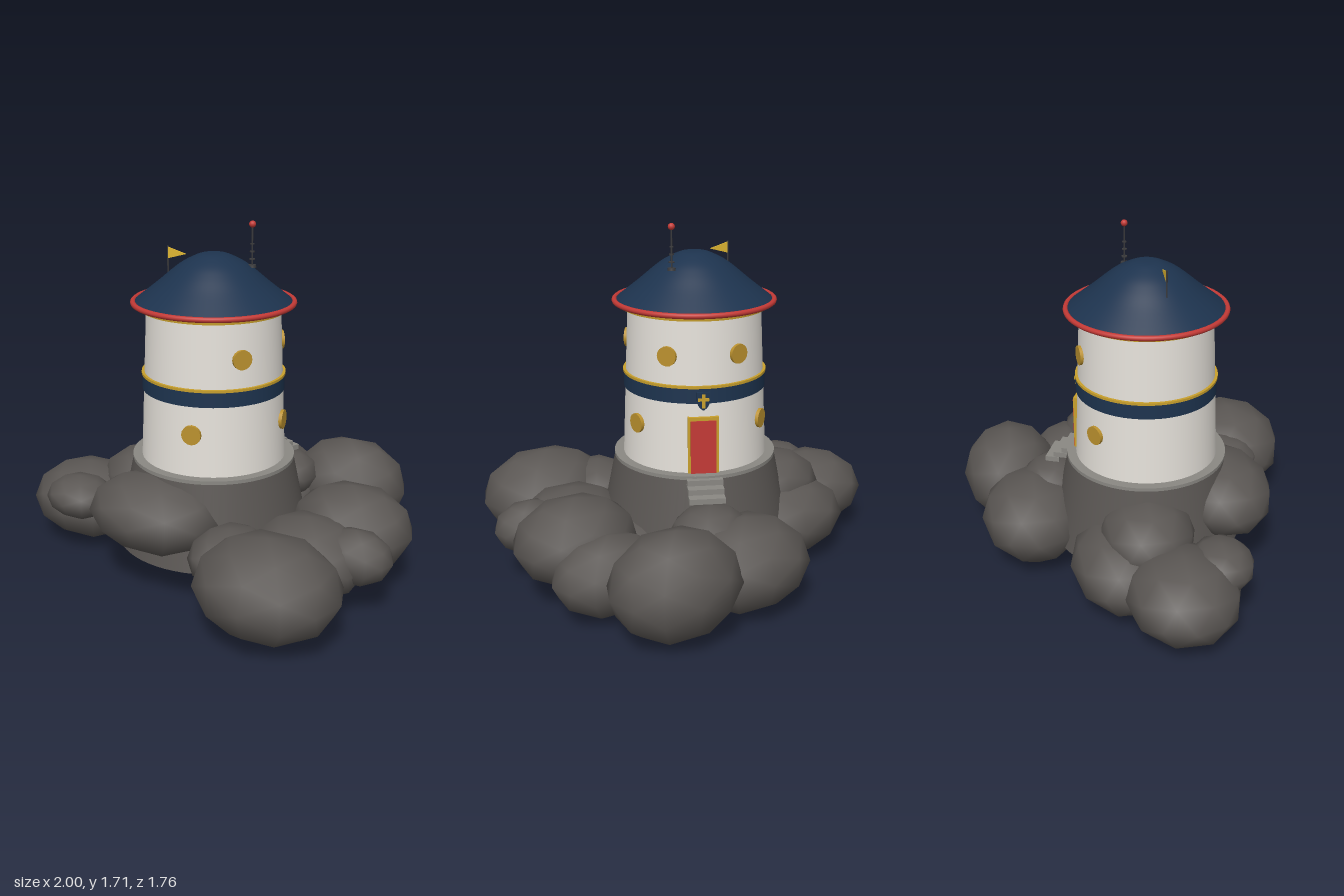
import * as THREE from 'three';

const mat = (name, color) => {
  const m = new THREE.MeshStandardMaterial({ color });
  m.name = name;
  return m;
};

export function createModel() {
  const rock = mat('rock grey', 0x5a5653);
  const stone = mat('stone grey', 0x8a8883);
  const wall = mat('plaster white', 0xe5e1da);
  const navy = mat('navy', 0x1d334e);
  const gold = mat('gold', 0xc9a02c);
  const amber = mat('window amber', 0xbc922f);
  const yellow = mat('flag yellow', 0xe2b833);
  const red = mat('red', 0xc43a36);
  const metal = mat('dark metal', 0x3a3a3c);

  const model = new THREE.Group();
  model.name = 'rockTower';
  const tower = new THREE.Group();
  tower.name = 'tower';
  tower.position.set(0.013, 0, 0.03);
  model.add(tower);

  const add = (parent, name, geometry, material, x = 0, y = 0, z = 0) => {
    const mesh = new THREE.Mesh(geometry, material);
    mesh.name = name;
    mesh.position.set(x, y, z);
    parent.add(mesh);
    return mesh;
  };
  // Upright round part between two heights
  const drum = (name, y0, y1, r0, r1, material) =>
    add(tower, name, new THREE.CylinderGeometry(r1, r0, y1 - y0, 64), material, 0, (y0 + y1) / 2, 0);
  // Group on the tower wall whose local +z points outwards
  const facing = (name, degrees) => {
    const g = new THREE.Group();
    g.name = name;
    g.rotation.y = THREE.MathUtils.degToRad(degrees);
    tower.add(g);
    return g;
  };

  // Boulders: centre x, y, z, then radii x, y, z
  const boulders = [
    [0.47, 0.27, -0.63, 0.31, 0.25, 0.25],
    [0.07, 0.235, -0.535, 0.32, 0.22, 0.265],
    [0.18, 0.36, -0.42, 0.19, 0.13, 0.17],
    [0.58, 0.27, 0.59, 0.34, 0.23, 0.29],
    [0.34, 0.31, 0.48, 0.18, 0.13, 0.22],
    [0.70, 0.30, -0.08, 0.3, 0.21, 0.25],
    [0.64, 0.215, -0.31, 0.27, 0.19, 0.2],
    [0.42, 0.2, -0.06, 0.3, 0.16, 0.22],
    [0.82, 0.29, 0.185, 0.18, 0.13, 0.135],
    [0.60, 0.25, 0.2, 0.29, 0.19, 0.26],
    [-0.10, 0.39, 0.39, 0.34, 0.19, 0.25],
    [-0.69, 0.225, 0.08, 0.31, 0.2, 0.27],
    [-0.62, 0.315, 0.27, 0.18, 0.11, 0.155],
    [-0.38, 0.21, -0.13, 0.35, 0.205, 0.27],
    [-0.37, 0.35, -0.03, 0.28, 0.18, 0.23],
  ];
  const rocks = new THREE.Group();
  rocks.name = 'boulders';
  model.add(rocks);
  boulders.forEach(([x, y, z, rx, ry, rz]) => {
    const g = new THREE.IcosahedronGeometry(1, 1);
    g.scale(rx, ry, rz);
    add(rocks, 'boulder', g, rock, x, y, z);
  });

  // Tower body
  drum('foundation', 0.17, 0.58, 0.475, 0.39, rock);
  drum('foundationTrim', 0.58, 0.597, 0.392, 0.392, stone);
  drum('wall', 0.595, 1.33, 0.347, 0.315, wall);
  drum('band', 0.93, 1.0, 0.339, 0.337, navy);
  drum('bandTrim', 1.0, 1.012, 0.342, 0.342, gold);
  drum('eavesTrim', 1.312, 1.335, 0.344, 0.346, gold);

  // Roof with a rounded top and closed underside
  const slope = new THREE.SplineCurve([
    [0.372, 1.345], [0.27, 1.425], [0.2, 1.484], [0.15, 1.522], [0.1, 1.549], [0.055, 1.566], [0, 1.57],
  ].map(([r, y]) => new THREE.Vector2(r, y)));
  add(tower, 'roof', new THREE.LatheGeometry(slope.getPoints(28), 64), navy);
  const underside = new THREE.CircleGeometry(0.378, 64);
  underside.rotateX(Math.PI / 2);
  add(tower, 'roofUnderside', underside, navy, 0, 1.337, 0);
  const rim = new THREE.TorusGeometry(0.376, 0.0125, 10, 64);
  rim.rotateX(Math.PI / 2);
  add(tower, 'roofRim', rim, red, 0, 1.343, 0);

  // Round windows: angle around the tower, height
  [[11.5, 0.797], [100, 0.797], [216, 0.797], [51.5, 1.143], [129, 1.143], [189, 1.143]]
    .forEach(([angle, y]) => {
      const g = new THREE.CylinderGeometry(0.046, 0.046, 0.04, 16);
      g.rotateX(Math.PI / 2);
      add(facing('window', angle), 'windowPane', g, amber, 0, y, y < 1 ? 0.331 : 0.315);
    });

  // Door, crest and steps
  const entry = facing('entrance', 158);
  add(entry, 'doorFrame', new THREE.BoxGeometry(0.142, 0.27, 0.05), gold, 0, 0.732, 0.324);
  add(entry, 'door', new THREE.BoxGeometry(0.118, 0.254, 0.008), red, 0, 0.724, 0.35);
  const shield = new THREE.Shape();
  shield.moveTo(-0.03, 0.04);
  shield.lineTo(0.03, 0.04);
  shield.lineTo(0.03, 0);
  shield.quadraticCurveTo(0.026, -0.032, 0, -0.045);
  shield.quadraticCurveTo(-0.026, -0.032, -0.03, 0);
  add(entry, 'crest', new THREE.ExtrudeGeometry(shield, { depth: 0.016, bevelEnabled: false }), navy, 0, 0.945, 0.332);
  add(entry, 'crestUpright', new THREE.BoxGeometry(0.014, 0.064, 0.008), gold, 0, 0.945, 0.35);
  add(entry, 'crestCrossbar', new THREE.BoxGeometry(0.05, 0.014, 0.008), gold, 0, 0.952, 0.35);
  for (let i = 0; i < 3; i++) {
    add(entry, 'step', new THREE.BoxGeometry(0.165, 0.026, 0.07), stone, 0, 0.574 - i * 0.028, 0.38 + i * 0.042);
  }

  // Antenna with ring bars and a red tip
  const antenna = new THREE.Group();
  antenna.name = 'antenna';
  antenna.position.set(0.172, 0, -0.048);
  model.add(antenna);
  add(antenna, 'mast', new THREE.CylinderGeometry(0.004, 0.004, 0.22, 8), metal, 0, 1.59, 0);
  add(antenna, 'mastFoot', new THREE.CylinderGeometry(0.018, 0.02, 0.012, 12), metal, 0, 1.508, 0);
  [1.54, 1.575, 1.61].forEach((y, i) =>
    add(antenna, 'ringBar', new THREE.CylinderGeometry(0.014 - i * 0.002, 0.014 - i * 0.002, 0.005, 10), metal, 0, y, 0));
  add(antenna, 'beacon', new THREE.SphereGeometry(0.016, 14, 10), red, 0, 1.7, 0);

  // Pennant
  const flag = new THREE.Group();
  flag.name = 'flag';
  flag.position.set(-0.2, 0, 0.083);
  model.add(flag);
  add(flag, 'flagPole', new THREE.CylinderGeometry(0.004, 0.004, 0.13, 8), metal, 0, 1.525, 0);
  const pennant = new THREE.Shape([[0, 1.532], [0.098, 1.56], [0, 1.586]].map(([x, y]) => new THREE.Vector2(x, y)));
  add(flag, 'pennant', new THREE.ExtrudeGeometry(pennant, { depth: 0.006, bevelEnabled: false }), yellow, 0, 0, -0.003);

  return model;
}
